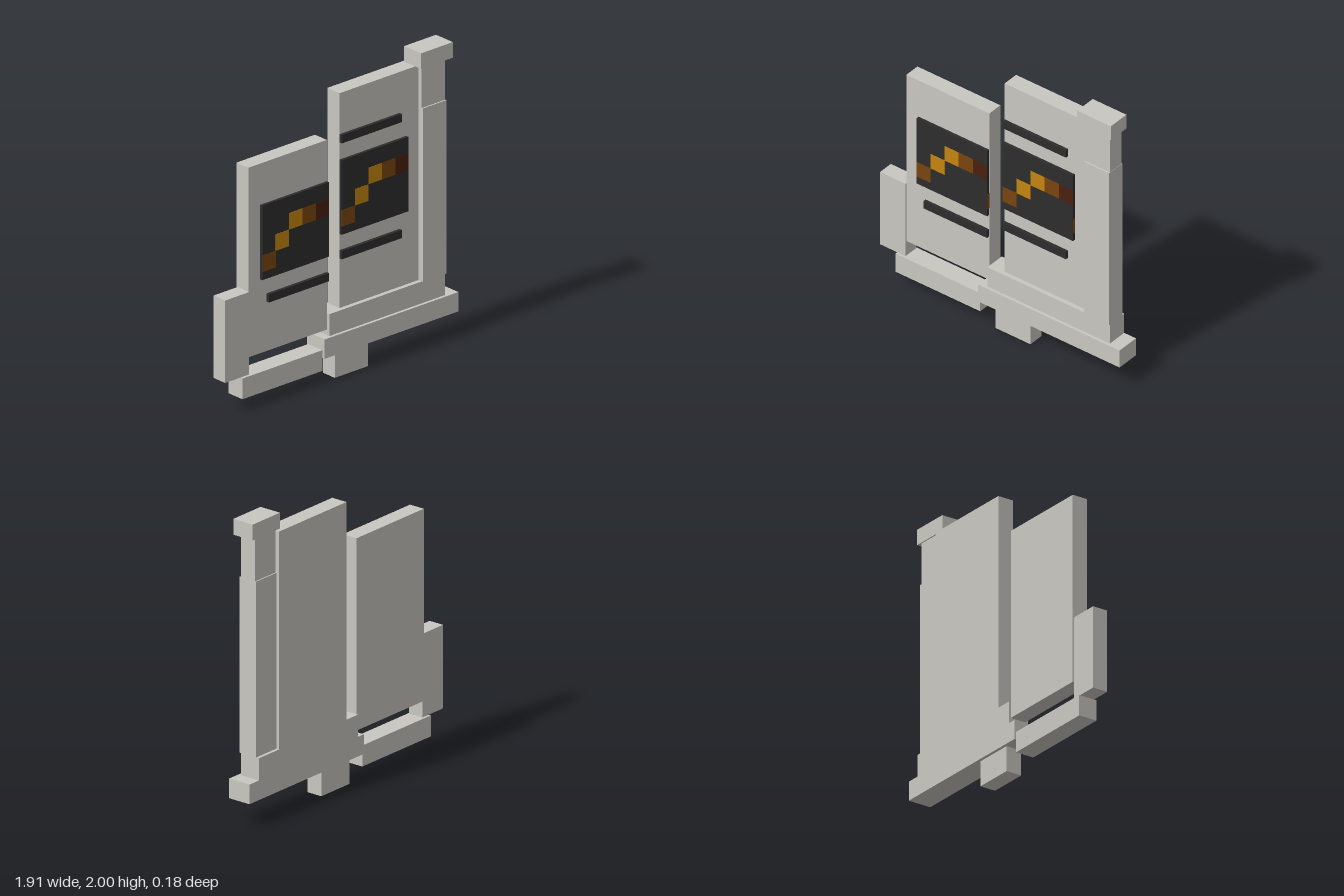
import * as THREE from 'three';

const mat = (name, color) => {
  const m = new THREE.MeshStandardMaterial({ color });
  m.name = name;
  return m;
};

export function createModel() {
  const model = new THREE.Group();
  model.name = 'twinSlabMonument';

  const stone = mat('paleStone', 0xc9c7c1);
  const dark = mat('charcoal', 0x2d2d2d);
  const amber = mat('amber', 0xc4860f);
  const brown = mat('brown', 0x7a4510);
  const deepBrown = mat('deepBrown', 0x4a2010);

  // Box given by its extents on each axis
  const block = (parent, name, material, [x0, x1], [y0, y1], [z0, z1]) => {
    const mesh = new THREE.Mesh(new THREE.BoxGeometry(x1 - x0, y1 - y0, z1 - z0), material);
    mesh.position.set((x0 + x1) / 2, (y0 + y1) / 2, (z0 + z1) / 2);
    mesh.name = name;
    parent.add(mesh);
  };

  // Base and foot
  block(model, 'foot', stone, [-0.045, 0.23], [0, 0.17], [-0.067, 0.044]);
  block(model, 'base', stone, [-0.157, 0.955], [0.17, 0.3], [-0.0885, 0.075]);
  block(model, 'step', stone, [-0.1, 0.863], [0.3, 0.447], [-0.0885, 0.055]);

  // Tall slab with its post and cap
  block(model, 'tallSlab', stone, [0.012, 0.668], [0.447, 1.89], [-0.0885, 0.025]);
  block(model, 'postShaft', stone, [0.668, 0.865], [0.447, 1.612], [-0.067, 0.065]);
  block(model, 'postNeck', stone, [0.668, 0.863], [1.612, 1.895], [-0.059, 0.055]);
  block(model, 'postCap', stone, [0.632, 0.897], [1.895, 2], [-0.067, 0.0885]);

  // Short slab with its side block and lower bar
  block(model, 'shortSlab', stone, [-0.755, -0.102], [0.338, 1.612], [-0.076, 0.034]);
  block(model, 'sideBlock', stone, [-0.955, -0.755], [0.226, 0.78], [-0.065, 0.042]);
  block(model, 'lowerBar', stone, [-0.823, -0.157], [0.083, 0.222], [-0.076, 0.055]);

  // Dark panel with a stepped flame line, starting at its lower left corner
  const cell = 0.111;
  const cells = [[0, brown], [1, amber], [2, amber], [2, brown], [2, deepBrown]];
  const panel = (name, x, y, z) => {
    const group = new THREE.Group();
    group.name = name;
    group.position.set(x, y, z);
    model.add(group);
    block(group, 'panelPlate', dark, [0, 5 * cell], [0, 0.5], [-0.002, 0.0205]);
    cells.forEach(([row, material], i) => {
      const low = 0.055 + row * cell;
      block(group, 'flameCell', material, [i * cell, (i + 1) * cell], [low, low + cell], [0.0195, 0.022]);
    });
    // Flame colour carried round the side edge
    block(group, 'edgeCell', brown, [5 * cell - 0.001, 5 * cell + 0.001], [0.055, 0.055 + cell], [0, 0.0205]);
  };
  panel('tallSlabPanel', 0.011, 0.945, 0.025);
  panel('shortSlabPanel', -0.658, 0.835, 0.034);

  // Dark strips above and below the panels
  const strip = (name, x, y, z) =>
    block(model, name, dark, [x, x + 0.5], [y, y + 0.055], [z - 0.002, z + 0.022]);
  strip('tallSlabUpperStrip', 0.011, 1.56, 0.025);
  strip('tallSlabLowerStrip', 0.011, 0.781, 0.025);
  strip('shortSlabStrip', -0.603, 0.67, 0.034);

  return model;
}
